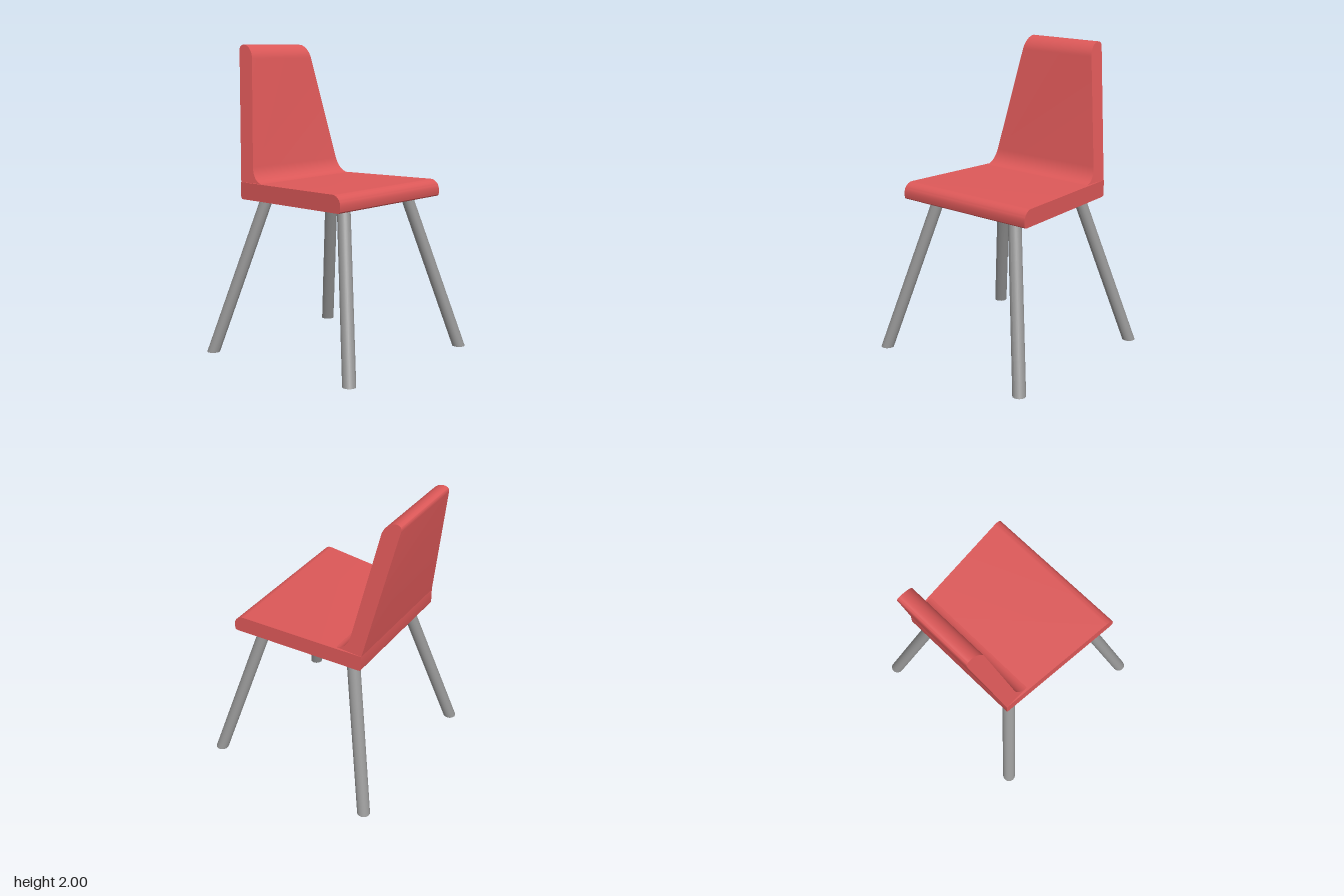
import * as THREE from 'three';
import { toCreasedNormals } from 'three/addons/utils/BufferGeometryUtils.js';

const SEAT_BOTTOM = 1.01, SEAT_TOP = 1.12;

// Extrudes a side profile (x = toward the rear, y = up) across the chair,
// then tapers it with halfWidth(y, z).
function taperedSlab(profile, halfWidth) {
  const geo = new THREE.ExtrudeGeometry(profile, { depth: 2, bevelEnabled: false, curveSegments: 12 });
  geo.translate(0, 0, -1).rotateY(Math.PI / 2);
  const p = geo.attributes.position;
  for (let i = 0; i < p.count; i++) p.setX(i, p.getX(i) * halfWidth(p.getY(i), p.getZ(i)));
  return toCreasedNormals(geo, 0.6);
}

export function createModel() {
  const red = new THREE.MeshStandardMaterial({ color: 0xdc5858 });
  red.name = 'red shell';
  const grey = new THREE.MeshStandardMaterial({ color: 0x969696 });
  grey.name = 'grey legs';

  const chair = new THREE.Group();
  chair.name = 'chair';
  const add = (name, geo, material) => {
    const mesh = new THREE.Mesh(geo, material);
    mesh.name = name;
    chair.add(mesh);
  };

  // Seat: rounded front edge, narrower toward the rear
  const seat = new THREE.Shape();
  seat.moveTo(-0.43, SEAT_BOTTOM);
  seat.lineTo(0.43, SEAT_BOTTOM);
  seat.quadraticCurveTo(0.45, SEAT_BOTTOM, 0.45, SEAT_BOTTOM + 0.02);
  seat.lineTo(0.45, SEAT_TOP);
  seat.lineTo(-0.385, SEAT_TOP);
  seat.bezierCurveTo(-0.42, SEAT_TOP, -0.45, 1.092, -0.45, 1.055);
  seat.lineTo(-0.45, SEAT_BOTTOM + 0.02);
  seat.quadraticCurveTo(-0.45, SEAT_BOTTOM, -0.43, SEAT_BOTTOM);
  add('seat', taperedSlab(seat, (y, z) => 0.47 + 0.0845 * z), red);

  // Backrest: leaning slab with a fillet at its foot and a rounded top
  const back = new THREE.Shape();
  back.moveTo(0.27, SEAT_TOP);
  back.lineTo(0.45, SEAT_TOP);
  back.lineTo(0.603, 1.965);
  back.quadraticCurveTo(0.607, 2, 0.572, 2);
  back.bezierCurveTo(0.53, 2, 0.488, 1.96, 0.48, 1.91);
  back.lineTo(0.36, 1.22);
  back.bezierCurveTo(0.348, 1.16, 0.31, 1.125, 0.27, SEAT_TOP);
  add('backrest', taperedSlab(back, (y) => 0.43 - 0.179 * (y - SEAT_TOP)), red);

  // Legs: round bars sheared outward so both ends lie level
  const legHeight = SEAT_BOTTOM + 0.01;
  for (const sx of [1, -1]) {
    for (const sz of [1, -1]) {
      const leg = new THREE.CylinderGeometry(0.042, 0.042, legHeight, 24);
      leg.translate(0, legHeight / 2, 0);
      const p = leg.attributes.position;
      for (let i = 0; i < p.count; i++) {
        const splay = 0.578 - 0.254 * p.getY(i) / SEAT_BOTTOM;
        p.setX(i, p.getX(i) + sx * splay);
        p.setZ(i, p.getZ(i) + sz * splay);
      }
      leg.computeVertexNormals();
      add((sz > 0 ? 'front' : 'rear') + (sx > 0 ? 'Left' : 'Right') + 'Leg', leg, grey);
    }
  }
  return chair;
}
